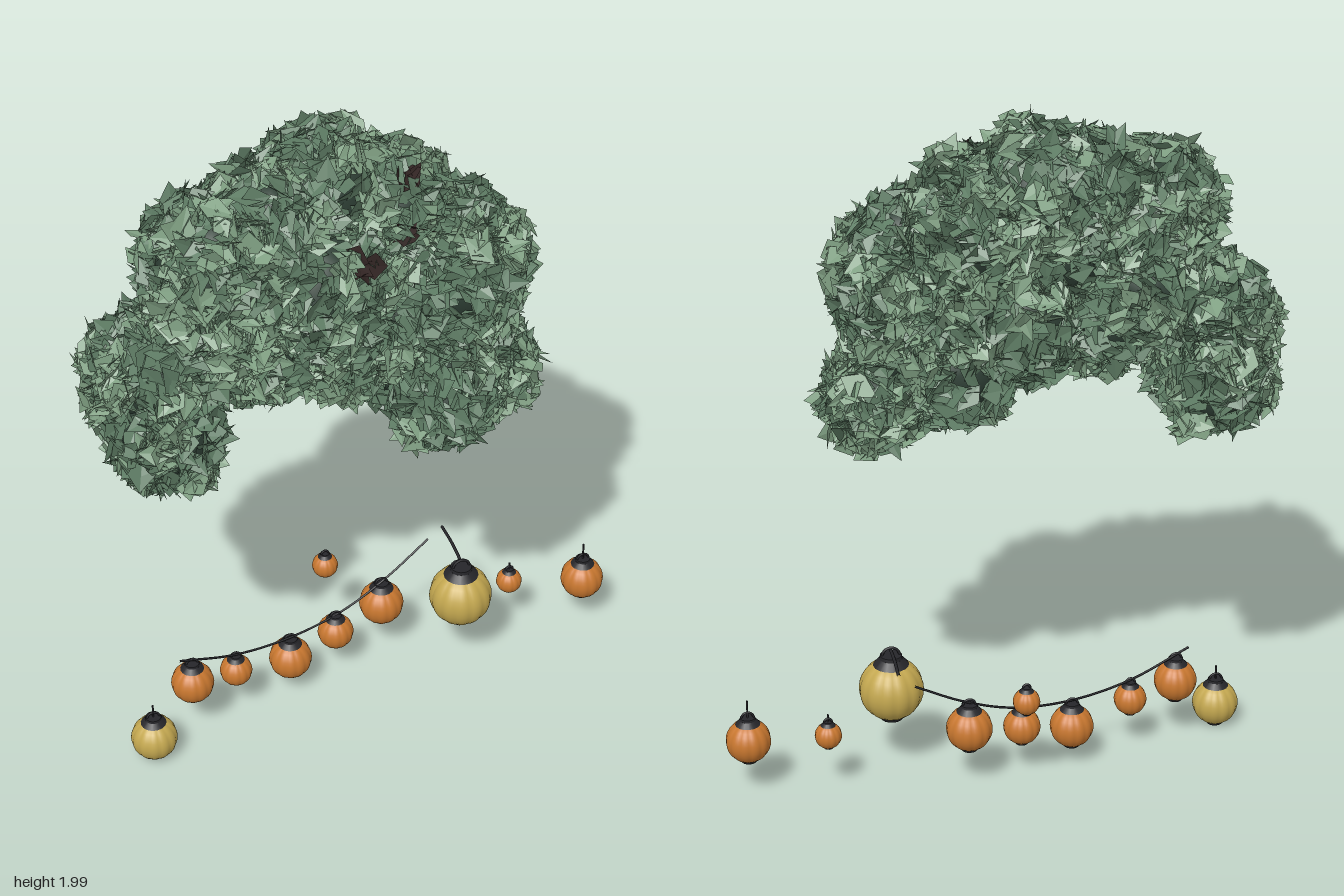
import * as THREE from 'three';
import { mergeGeometries } from 'three/addons/utils/BufferGeometryUtils.js';

const mat = (name, color, extra = {}) => {
  const m = new THREE.MeshStandardMaterial({ color, ...extra });
  m.name = name;
  return m;
};

function seeded(seed) {
  return () => {
    seed = (seed * 1664525 + 1013904223) >>> 0;
    return seed / 4294967296;
  };
}

// leaf clusters: x, y, z, radius
const CLUSTERS = [
  [-0.10, 1.79, -0.08, 0.18], [-0.43, 1.68, 0.00, 0.19], [-0.26, 1.74, -0.04, 0.18],
  [0.09, 1.68, -0.10, 0.18], [0.26, 1.52, 0.01, 0.20], [-0.15, 1.58, 0.04, 0.20],
  [-0.42, 1.48, 0.00, 0.20], [-0.60, 1.36, -0.01, 0.18], [-0.60, 1.20, -0.10, 0.15],
  [-0.59, 1.20, 0.07, 0.16], [-0.30, 1.39, 0.00, 0.17], [-0.05, 1.38, -0.01, 0.19],
  [0.10, 1.44, 0.00, 0.19], [0.12, 1.26, -0.01, 0.17], [0.19, 1.19, 0.12, 0.16],
  [0.34, 1.17, 0.01, 0.15], [0.27, 1.34, 0.00, 0.16], [0.09, 1.76, 0.00, 0.13],
  [0.26, 1.62, 0.00, 0.15], [0.37, 1.19, -0.06, 0.12], [0.31, 1.45, -0.05, 0.14],
];

// dry patches showing among the leaves: x, y, z
const DRY = [[0.46, 1.45, 0.08], [0.11, 1.87, 0.06], [0.10, 1.73, 0.13], [-0.06, 1.69, 0.18]]
  .map(p => new THREE.Vector3(...p));

function createFoliage(leafMat, shadeMat, coreMat, barkMat) {
  const group = new THREE.Group();
  group.name = 'foliage';
  const rnd = seeded(7);
  const dir = () => {
    const y = rnd() * 2 - 1, a = rnd() * Math.PI * 2, s = Math.sqrt(1 - y * y);
    return new THREE.Vector3(Math.cos(a) * s, y, Math.sin(a) * s);
  };
  const centres = CLUSTERS.map(([x, y, z]) => new THREE.Vector3(x, y, z));
  const buried = (p, i, depth) =>
    centres.some((c, j) => j !== i && p.distanceTo(c) < CLUSTERS[j][3] * depth);
  const outer = [], inner = [], dry = [];

  // kite-shaped leaf, folded along its midrib
  const addLeaf = (list, p, normal) => {
    const along = dir().cross(normal).normalize();
    const across = normal.clone().cross(along);
    const len = 0.034 + 0.024 * rnd(), wid = 0.025 + 0.015 * rnd();
    const at = (u, v, w) => p.clone().addScaledVector(along, u * len)
      .addScaledVector(across, v * wid).addScaledVector(normal, w * len);
    const tail = at(-1, 0, 0), tip = at(1.1, 0, 0), a = at(-0.1, -1, 0.12), b = at(-0.1, 1, 0.12);
    const target = DRY.some(d => d.distanceTo(p) < 0.035) ? dry : list;
    for (const q of [tail, a, tip, tail, tip, b]) target.push(q.x, q.y, q.z);
  };

  CLUSTERS.forEach(([, , , r], i) => {
    // even inner layer
    for (let k = 0; k < 13000 * r * r; k++) {
      const out = dir();
      const p = out.clone().multiplyScalar(r * (0.86 + 0.13 * rnd())).add(centres[i]);
      if (!buried(p, i, 0.84)) addLeaf(inner, p, out.addScaledVector(dir(), 0.9).normalize());
    }
    // small round tufts on top of it
    for (let k = 0; k < 1000 * r * r; k++) {
      const out = dir();
      const tuft = out.clone().multiplyScalar(r - 0.045 + 0.03 * rnd()).add(centres[i]);
      if (buried(tuft, i, 0.8)) continue;
      for (let n = 0; n < 16; n++) {
        const t = dir();
        if (t.dot(out) < 0) continue;
        const p = tuft.clone().addScaledVector(t, 0.042);
        addLeaf(outer, p, t.addScaledVector(dir(), 0.7).normalize());
      }
    }
  });
  for (const [name, list, m] of [['outerLeaves', outer, leafMat], ['innerLeaves', inner, shadeMat],
    ['dryLeaves', dry, barkMat]]) {
    const geo = new THREE.BufferGeometry();
    geo.setAttribute('position', new THREE.Float32BufferAttribute(list, 3));
    geo.computeVertexNormals();
    const mesh = new THREE.Mesh(geo, m);
    mesh.name = name;
    group.add(mesh);
  }

  // shaded mass inside the leaves
  const core = new THREE.Mesh(mergeGeometries(CLUSTERS.map(([x, y, z, r]) =>
    new THREE.IcosahedronGeometry(r * 0.8, 2).translate(x, y, z))), coreMat);
  core.name = 'leafCore';
  group.add(core);
  return group;
}

// sphere with twelve soft ribs
function ribbedGeometry(r) {
  const geo = new THREE.SphereGeometry(r, 72, 16);
  const p = geo.attributes.position;
  for (let i = 0; i < p.count; i++) {
    const a = Math.atan2(p.getZ(i), p.getX(i));
    const k = 0.97 + 0.04 * Math.abs(Math.sin(a * 6));
    p.setX(i, p.getX(i) * k);
    p.setZ(i, p.getZ(i) * k);
  }
  geo.computeVertexNormals();
  return geo;
}

function createLantern([x, y, z, r, pin], paper, metal) {
  const group = new THREE.Group();
  group.name = 'lantern';
  const add = (name, geo, m, py = 0) => {
    const mesh = new THREE.Mesh(geo, m);
    mesh.name = name;
    mesh.position.y = py * r;
    group.add(mesh);
  };
  add('lanternBody', ribbedGeometry(r), paper);
  add('topCap', new THREE.CylinderGeometry(r * 0.36, r * 0.56, r * 0.22, 16), metal, 0.95);
  add('topCollar', new THREE.CylinderGeometry(r * 0.34, r * 0.36, r * 0.12, 16), metal, 1.11);
  add('bottomCap', new THREE.CylinderGeometry(r * 0.44, r * 0.34, r * 0.14, 16), metal, -0.97);
  add('handle', new THREE.TorusGeometry(r * 0.27, Math.max(r * 0.045, 0.0035), 6, 16, Math.PI), metal, 1.14);
  if (pin) {
    add('hangingPin', new THREE.CylinderGeometry(0.003, 0.003, (pin - 1.1) * r, 6), metal, (pin + 1.1) / 2);
  }
  group.position.set(x, y, z);
  return group;
}

export function createModel() {
  const model = new THREE.Group();
  model.name = 'leafCanopyWithLanterns';
  const leaf = mat('leafGreen', 0x7f9f82, { side: THREE.DoubleSide });
  const shade = mat('shadedGreen', 0x5f7d65, { side: THREE.DoubleSide });
  const core = mat('deepGreen', 0x2f4036);
  const bark = mat('barkBrown', 0x342725, { side: THREE.DoubleSide });
  const orange = mat('lanternOrange', 0xc8772f);
  const yellow = mat('lanternYellow', 0xc4a850);
  const metal = mat('darkMetal', 0x26262a);

  model.add(createFoliage(leaf, shade, core, bark));

  // lanterns: x, y, z, radius, pin height in radii
  const orangeOnes = [
    [-0.53, 0.195, -0.01, 0.063], [-0.385, 0.167, -0.05, 0.048], [-0.20, 0.122, -0.10, 0.064],
    [-0.045, 0.155, -0.135, 0.054], [0.117, 0.189, -0.18, 0.067], [-0.035, 0.31, -0.265, 0.039],
    [0.523, 0.189, -0.152, 0.039, 1.75], [0.75, 0.172, -0.113, 0.065, 2.0],
  ];
  const yellowOnes = [[-0.67, 0.072, 0.053, 0.068, 1.8], [0.325, 0.269, -0.05, 0.094]];
  for (const l of orangeOnes) model.add(createLantern(l, orange, metal));
  for (const l of yellowOnes) model.add(createLantern(l, yellow, metal));

  // sagging string and the arm holding the large lantern
  const wire = (name, pts, radius) => {
    const curve = new THREE.CatmullRomCurve3(pts.map(p => new THREE.Vector3(...p)));
    const mesh = new THREE.Mesh(new THREE.TubeGeometry(curve, 40, radius, 6), metal);
    mesh.name = name;
    model.add(mesh);
  };
  wire('lanternString', [[-0.57, 0.295, 0], [-0.385, 0.228, -0.048], [-0.2, 0.204, -0.096],
    [-0.02, 0.222, -0.142], [0.13, 0.278, -0.181], [0.28, 0.363, -0.22]], 0.0035);
  wire('lanternArm', [[0.325, 0.394, -0.05], [0.325, 0.404, -0.13], [0.325, 0.4, -0.22]], 0.005);
  return model;
}
